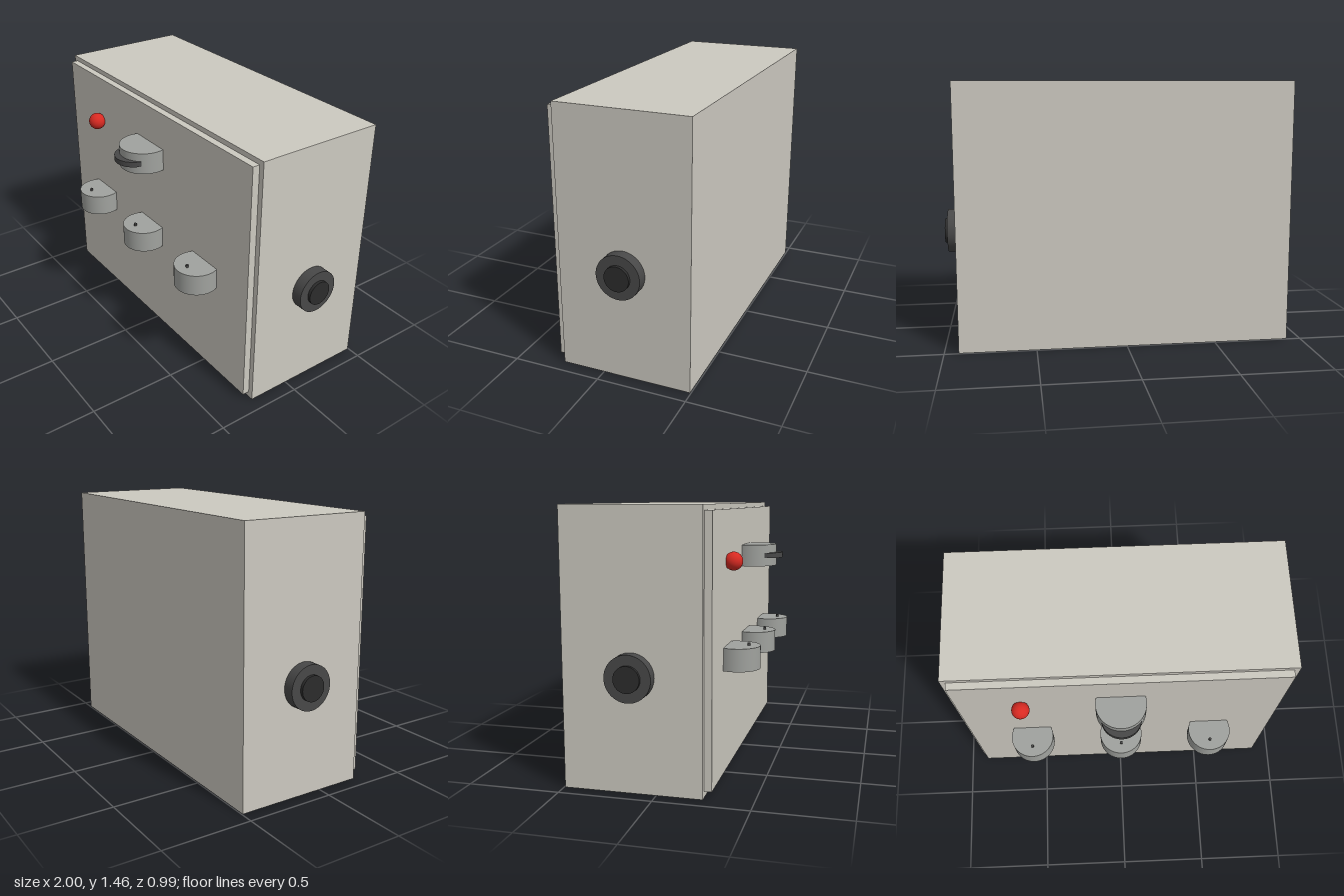
import * as THREE from 'three';

const mat = (color) => new THREE.MeshStandardMaterial({ color });

export function createModel() {
  const model = new THREE.Group();
  const beige = mat(0xccc9c0), grey = mat(0xa0a29e), dark = mat(0x484848), black = mat(0x2c2c2c), red = mat(0xd82a22);

  const add = (name, geometry, material, x, y, z) => {
    const mesh = new THREE.Mesh(geometry, material);
    mesh.name = name;
    mesh.position.set(x, y, z);
    model.add(mesh);
    return mesh;
  };
  const disc = (r, h) => new THREE.CylinderGeometry(r, r, h, 48);

  // Cabinet and raised front panel
  add('cabinet', new THREE.BoxGeometry(1.844, 1.46, 0.737), beige, 0, 0.73, -0.126);
  add('frontPanel', new THREE.BoxGeometry(1.784, 1.4, 0.06), beige, 0, 0.733, 0.252);

  // Row of dials, half sunk into the panel, each with a small pointer pin
  for (const x of [-0.523, 0, 0.523]) {
    add('dial', disc(0.122, 0.122), grey, x, 0.658, 0.337);
    add('dialPointer', new THREE.CylinderGeometry(0.008, 0.008, 0.03, 12), dark, x, 0.719, 0.397);
  }

  // Large selector with a dark disc projecting from it
  add('selector', disc(0.138, 0.122), grey, 0, 1.164, 0.321);
  add('selectorDisc', disc(0.11, 0.03), dark, 0, 1.164, 0.386);

  // Indicator lamp
  add('indicatorLamp', new THREE.SphereGeometry(0.049, 32, 20), red, -0.542, 1.165, 0.316);

  // Mirrored side knobs: wide collar and smaller end cap
  for (const side of [1, -1]) {
    add('sideKnobCollar', disc(0.122, 0.08), dark, side * 0.943, 0.61, -0.126).rotation.z = Math.PI / 2;
    add('sideKnobCap', disc(0.069, 0.06), black, side * 0.97, 0.61, -0.126).rotation.z = Math.PI / 2;
  }
  return model;
}
